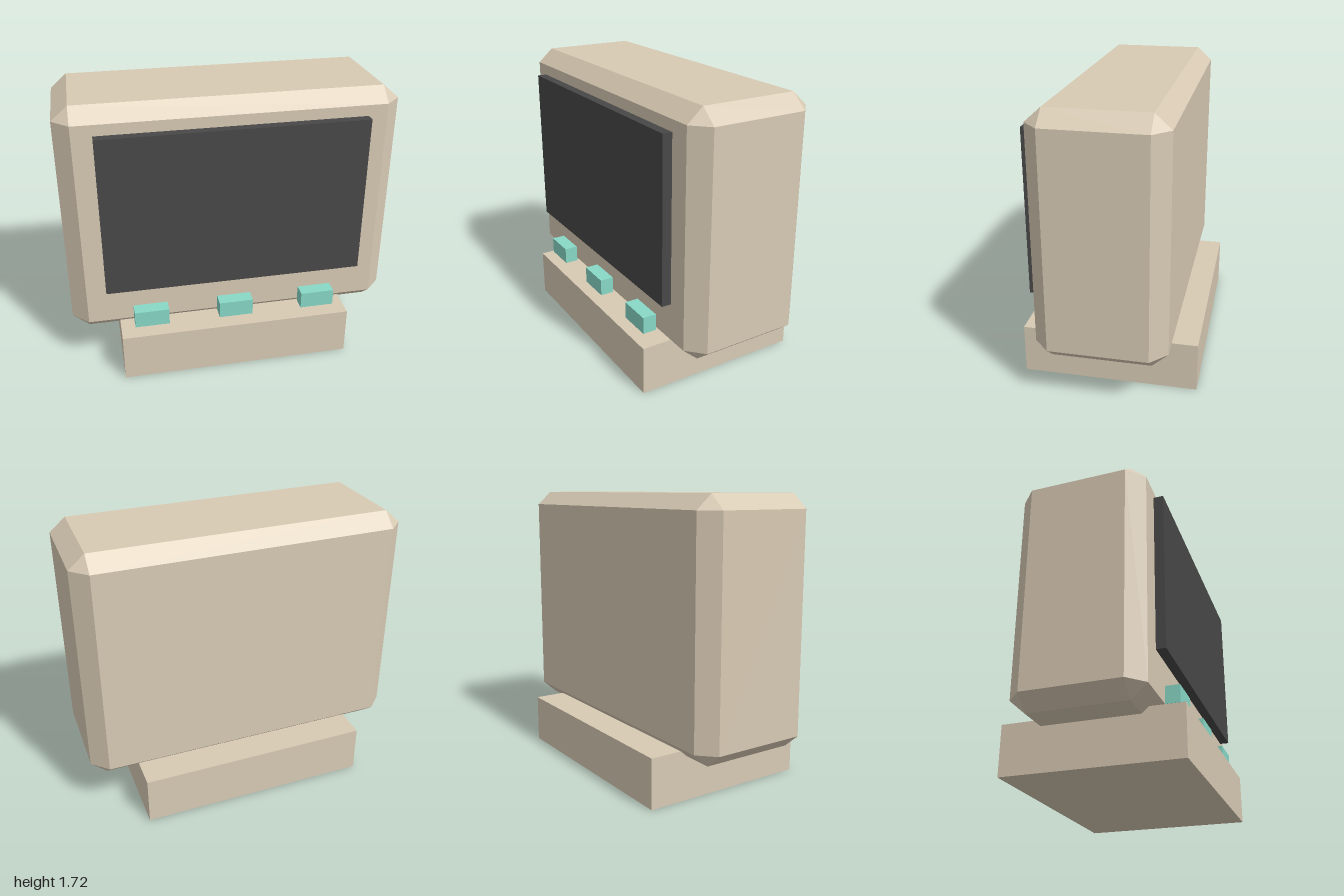
import * as THREE from 'three';
import { ConvexGeometry } from 'three/addons/geometries/ConvexGeometry.js';

const material = (name, color) => {
  const m = new THREE.MeshStandardMaterial({ color });
  m.name = name;
  return m;
};

// Box with every edge cut flat and a triangle at each corner
function chamferedBox(hx, hy, hz, cx, cy, cz) {
  const points = [];
  for (const x of [-1, 1]) for (const y of [-1, 1]) for (const z of [-1, 1]) {
    points.push(
      new THREE.Vector3(x * hx, y * (hy - cy), z * (hz - cz)),
      new THREE.Vector3(x * (hx - cx), y * hy, z * (hz - cz)),
      new THREE.Vector3(x * (hx - cx), y * (hy - cy), z * hz)
    );
  }
  return new ConvexGeometry(points);
}

export function createModel() {
  const model = new THREE.Group();
  model.name = 'monitor';
  const beige = material('beige casing', 0xd8cab4);
  const charcoal = material('charcoal screen', 0x484848);
  const teal = material('teal buttons', 0x88d8c6);

  const add = (name, geometry, mat, x, y, z) => {
    const mesh = new THREE.Mesh(geometry, mat);
    mesh.name = name;
    mesh.position.set(x, y, z);
    model.add(mesh);
  };

  // Casing and the stand it sinks into
  add('casing', chamferedBox(1, 0.726, 0.382, 0.097, 0.084, 0.094), beige, 0, 0.99, 0);
  add('base', new THREE.BoxGeometry(1.426, 0.3, 1.05), beige, 0, 0.15, 0);

  // Screen panel held just off the front face
  add('screen', new THREE.BoxGeometry(1.57, 0.985, 0.057), charcoal, 0, 1.077, 0.418);

  // Row of three buttons
  ['rightButton', 'middleButton', 'leftButton'].forEach((name, i) => {
    add(name, new THREE.BoxGeometry(0.21, 0.104, 0.084), teal, (i - 1) * 0.523, 0.389, 0.432);
  });

  return model;
}
